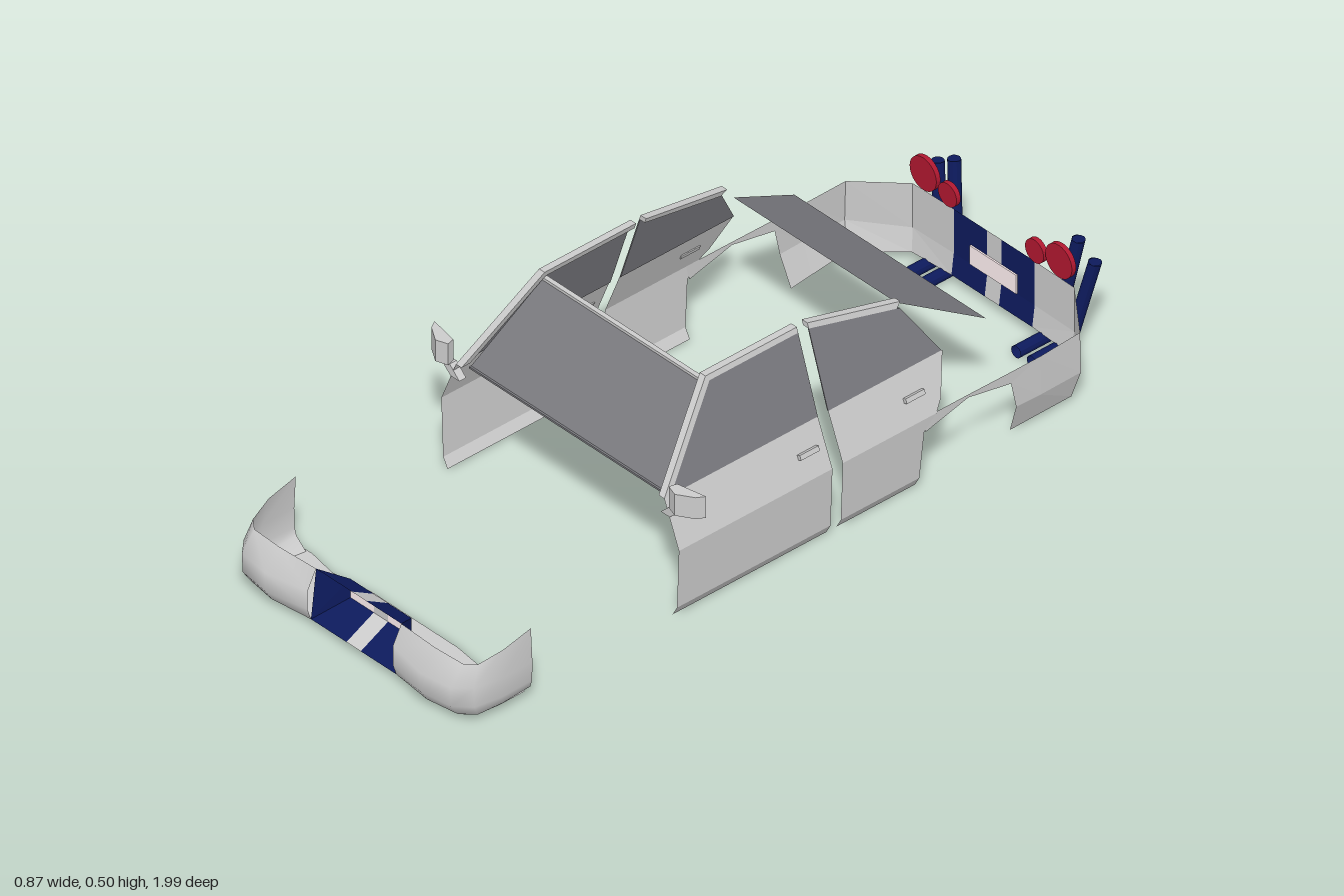
import * as THREE from 'three';

const mat = (color, flat = true) =>
  new THREE.MeshStandardMaterial({ color, flatShading: flat, side: THREE.DoubleSide });
const grey = mat(0xcccccc), smoothGrey = mat(0xcccccc, false), glass = mat(0x7b7b80);
const navy = mat(0x0d1a5c), red = mat(0xb01830), plateWhite = mat(0xfff0f2);

// surface through rows of points, all rows having the same length
function grid(rows) {
  const n = rows[0].length, index = [];
  for (let i = 0; i < rows.length - 1; i++)
    for (let j = 0; j < n - 1; j++) {
      const a = i * n + j, b = a + n;
      index.push(a, b, a + 1, b, b + 1, a + 1);
    }
  const g = new THREE.BufferGeometry();
  g.setAttribute('position', new THREE.Float32BufferAttribute(rows.flat(2), 3));
  g.setIndex(index);
  g.computeVertexNormals();
  return g;
}

const shape = (pts) => new THREE.Shape(pts.map(([a, b]) => new THREE.Vector2(a, b)));

// door side profile: x as a function of height
const PROFILE = [[0.005, 0.362], [0.03, 0.376], [0.185, 0.382], [0.3, 0.335], [0.51, 0.265]];
function sideX(y) {
  for (let i = 1; i < PROFILE.length; i++) {
    const [y0, x0] = PROFILE[i - 1], [y1, x1] = PROFILE[i];
    if (y <= y1) return x0 + (x1 - x0) * (y - y0) / (y1 - y0);
  }
  return 0.265;
}

// flat (z, y) outline extruded inwards and bent onto the door side
function onSide(pts, depth) {
  const g = new THREE.ExtrudeGeometry(shape(pts), { depth, bevelEnabled: false });
  const p = g.attributes.position;
  for (let i = 0; i < p.count; i++) {
    const z = p.getX(i), y = p.getY(i), d = p.getZ(i);
    p.setXYZ(i, sideX(y) - d, y, z);
  }
  g.computeVertexNormals();
  return g;
}

export function createModel() {
  const model = new THREE.Group();
  const add = (parent, name, geometry, material) => {
    const m = new THREE.Mesh(geometry, material);
    m.name = name;
    parent.add(m);
    return m;
  };

  // everything that exists on both sides; s = 1 left, -1 right
  for (const s of [1, -1]) {
    const side = new THREE.Group();
    side.name = s > 0 ? 'leftSide' : 'rightSide';
    model.add(side);
    const put = (name, g, m) => {
      const mesh = add(side, name, g, m);
      if (s < 0) {
        // mirror in x and turn the faces round again
        g.scale(-1, 1, 1);
        const index = g.index ? g.index.array : null;
        if (index) for (let i = 0; i < index.length; i += 3)
          [index[i], index[i + 1]] = [index[i + 1], index[i]];
        else for (const a of Object.values(g.attributes))
          for (let i = 0; i < a.count; i += 3)
            for (let k = 0; k < a.itemSize; k++) {
              const t = a.getComponent(i, k);
              a.setComponent(i, k, a.getComponent(i + 1, k));
              a.setComponent(i + 1, k, t);
            }
        g.computeVertexNormals();
      }
      return mesh;
    };

    // doors: [height, front z, back z]
    const doors = {
      frontDoor: {
        panel: [0.005, 0.03, 0.185, 0.3].map((y) => [y, 0.36, -0.09]),
        glass: [[0.34, 0.3], [0.17, 0.49], [-0.09, 0.49], [-0.09, 0.3]],
        frame: [[0.36, 0.3], [0.178, 0.503], [-0.09, 0.503], [-0.09, 0.487], [0.17, 0.487], [0.335, 0.3]],
        handleZ: -0.037,
      },
      rearDoor: {
        panel: [[0.005, -0.12, -0.35], [0.03, -0.12, -0.35], [0.15, -0.12, -0.36],
          [0.185, -0.12, -0.395], [0.21, -0.12, -0.417], [0.3, -0.12, -0.455]],
        glass: [[-0.12, 0.3], [-0.12, 0.487], [-0.37, 0.43], [-0.452, 0.3]],
        frame: [[-0.12, 0.487], [-0.12, 0.5], [-0.375, 0.443], [-0.36, 0.43]],
        handleZ: -0.347,
      },
    };
    for (const [name, d] of Object.entries(doors)) {
      put(name, grid(d.panel.map(([y, a, b]) => [[sideX(y), y, a], [sideX(y), y, b]])), grey);
      put(name + 'Glass', onSide(d.glass, 0.003), glass);
      put(name + 'Frame', onSide(d.frame, 0.018), grey);
      const handle = new THREE.BoxGeometry(0.012, 0.012, 0.055);
      handle.rotateZ(0.37).translate(0.362, 0.243, d.handleZ);
      put(name + 'Handle', handle, grey);
    }

    // door mirror: housing extruded upwards from its plan, and stalk
    const housing = new THREE.ExtrudeGeometry(
      shape([[0.437, -0.33], [0.425, -0.35], [0.385, -0.375], [0.355, -0.365], [0.36, -0.345]]),
      { depth: 0.057, bevelEnabled: false });
    put('mirrorHousing', housing.rotateX(-Math.PI / 2).translate(0, 0.289, 0), grey);
    const stalk = new THREE.ExtrudeGeometry(
      shape([[0.355, 0.29], [0.387, 0.29], [0.352, 0.26], [0.324, 0.26]]),
      { depth: 0.02, bevelEnabled: false });
    put('mirrorStalk', stalk.translate(0, 0, 0.34), grey);

    // front bumper skin, from the plate recess round to the wheel arch
    const skin = [
      [[0.137, 0.148, 0.95], [0.25, 0.148, 0.955], [0.335, 0.147, 0.95], [0.362, 0.15, 0.93], [0.377, 0.168, 0.87], [0.378, 0.187, 0.79]],
      [[0.137, 0.1, 0.975], [0.25, 0.1, 0.998], [0.335, 0.1, 0.987], [0.37, 0.1, 0.95], [0.385, 0.1, 0.88], [0.383, 0.1, 0.79]],
      [[0.137, 0.05, 0.975], [0.25, 0.05, 0.997], [0.335, 0.05, 0.985], [0.372, 0.05, 0.95], [0.384, 0.05, 0.88], [0.382, 0.05, 0.79]],
      [[0.137, 0.02, 0.965], [0.25, 0.02, 0.978], [0.335, 0.02, 0.965], [0.366, 0.02, 0.935], [0.376, 0.025, 0.87], [0.376, 0.03, 0.79]],
      [[0.137, 0.004, 0.94], [0.25, 0.004, 0.95], [0.33, 0.004, 0.94], [0.35, 0.004, 0.91], [0.355, 0.004, 0.86], [0.345, 0.004, 0.79]],
    ];
    put('frontBumper', grid(skin), smoothGrey);
    const lip = [[0, 0.004, 0.94], ...skin[4]];
    const backZ = [0.785, 0.785, 0.8, 0.785, 0.785, 0.787, 0.789];
    put('frontBumperFloor', grid([lip, lip.map(([x, y], i) => [x, y, backZ[i]])]), grey);
    put('frontBumperLip', grid([[[0, 0.02, 0.965], skin[3][0]], [lip[0], lip[1]]]), grey);

    // recess for the front plate: [outer x, y, z] from top rim to bottom rim
    const R = [[0.137, 0.148, 0.95], [0.098, 0.11, 0.885], [0.098, 0.06, 0.885], [0.137, 0.02, 0.965]];
    const row = (i, from) => [[from, R[i][1], R[i][2]], R[i]];
    put('recessTop', grid([row(0, 0.023), row(1, 0.023)]), navy);
    put('frontPlate', grid([row(1, 0.023), row(2, 0.023)]), plateWhite);
    put('recessBottom', grid([row(2, 0.023), row(3, 0.023)]), navy);
    put('recessSide', grid([[R[0], R[3]], [R[1], R[2]]]), navy);
    put('recessStripe', grid(R.map(([, y, z]) => [[0, y, z], [0.023, y, z]])), grey);

    // rear bumper wrapping round to the wheel arch
    put('rearBumper', grid([
      [[0.13, 0.203, -0.912], [0.26, 0.203, -0.91], [0.377, 0.19, -0.82], [0.38, 0.186, -0.7], [0.38, 0.155, -0.615]],
      [[0.13, 0.085, -0.912], [0.26, 0.085, -0.91], [0.38, 0.085, -0.82], [0.382, 0.085, -0.7], [0.38, 0.085, -0.63]],
      [[0.13, 0.03, -0.905], [0.252, 0.028, -0.9], [0.36, 0.015, -0.81], [0.355, 0.009, -0.7], [0.352, 0.005, -0.637]],
    ]), grey);
    put('rearWingStrip', grid([
      [[0.38, 0.187, -0.355], [0.38, 0.187, -0.49], [0.38, 0.186, -0.615], [0.38, 0.186, -0.7]],
      [[0.38, 0.148, -0.365], [0.38, 0.179, -0.49], [0.38, 0.155, -0.615], [0.38, 0.155, -0.615]],
    ]), grey);
    const panelRow = (y, z) => [[0, y, z], [0.023, y, z], [0.13, y, z]];
    const rear = [panelRow(0.203, -0.912), panelRow(0.085, -0.912), panelRow(0.03, -0.905)];
    put('rearPanelStripe', grid(rear.map((r) => r.slice(0, 2))), grey);
    put('rearPanel', grid(rear.map((r) => r.slice(1))), navy);

    // round rear lamps
    for (const [x, y, r] of [[0.218, 0.255, 0.043], [0.14, 0.24, 0.03]]) {
      const lamp = new THREE.CylinderGeometry(r, r, 0.012, 28);
      put('rearLamp', lamp.rotateX(Math.PI / 2).translate(x, y, -0.908), red);
    }

    // upswept exhaust pipes
    for (const [x, lean, top] of [[0.21, 0.043, 0.235], [0.16, 0.04, 0.268]]) {
      const path = new THREE.CurvePath();
      const pts = [[x, 0.016, -0.83], [x, 0.016, -0.925], [x + 0.004, 0.045, -0.95], [x + lean, top, -0.977]]
        .map((p) => new THREE.Vector3(...p));
      path.add(new THREE.LineCurve3(pts[0], pts[1]));
      path.add(new THREE.QuadraticBezierCurve3(pts[1], new THREE.Vector3(x, 0.016, -0.948), pts[2]));
      path.add(new THREE.LineCurve3(pts[2], pts[3]));
      put('exhaustPipe', new THREE.TubeGeometry(path, 24, 0.0155, 12), navy);
      const cap = new THREE.CircleGeometry(0.0155, 12);
      put('exhaustTip', cap.rotateX(-Math.PI / 2).translate(x + lean, top, -0.977), navy);
    }
  }

  // windscreen with thin trims, and rear window
  const pane = (x0, y0, z0, x1, y1, z1) =>
    grid([[[-x1, y1, z1], [x1, y1, z1]], [[-x0, y0, z0], [x0, y0, z0]]]);
  add(model, 'windscreen', pane(0.322, 0.285, 0.33, 0.264, 0.475, 0.17), glass);
  const topTrim = new THREE.BoxGeometry(0.53, 0.007, 0.012);
  add(model, 'windscreenTopTrim', topTrim.translate(0, 0.477, 0.167), grey);
  const bottomTrim = new THREE.BoxGeometry(0.644, 0.005, 0.006);
  add(model, 'windscreenBottomTrim', bottomTrim.translate(0, 0.285, 0.33), glass);
  add(model, 'rearWindow', pane(0.308, 0.295, -0.607, 0.262, 0.42, -0.387), glass);

  // rear plate
  const plate = new THREE.BoxGeometry(0.15, 0.05, 0.008);
  add(model, 'rearPlate', plate.translate(0, 0.112, -0.912), plateWhite);

  return model;
}
